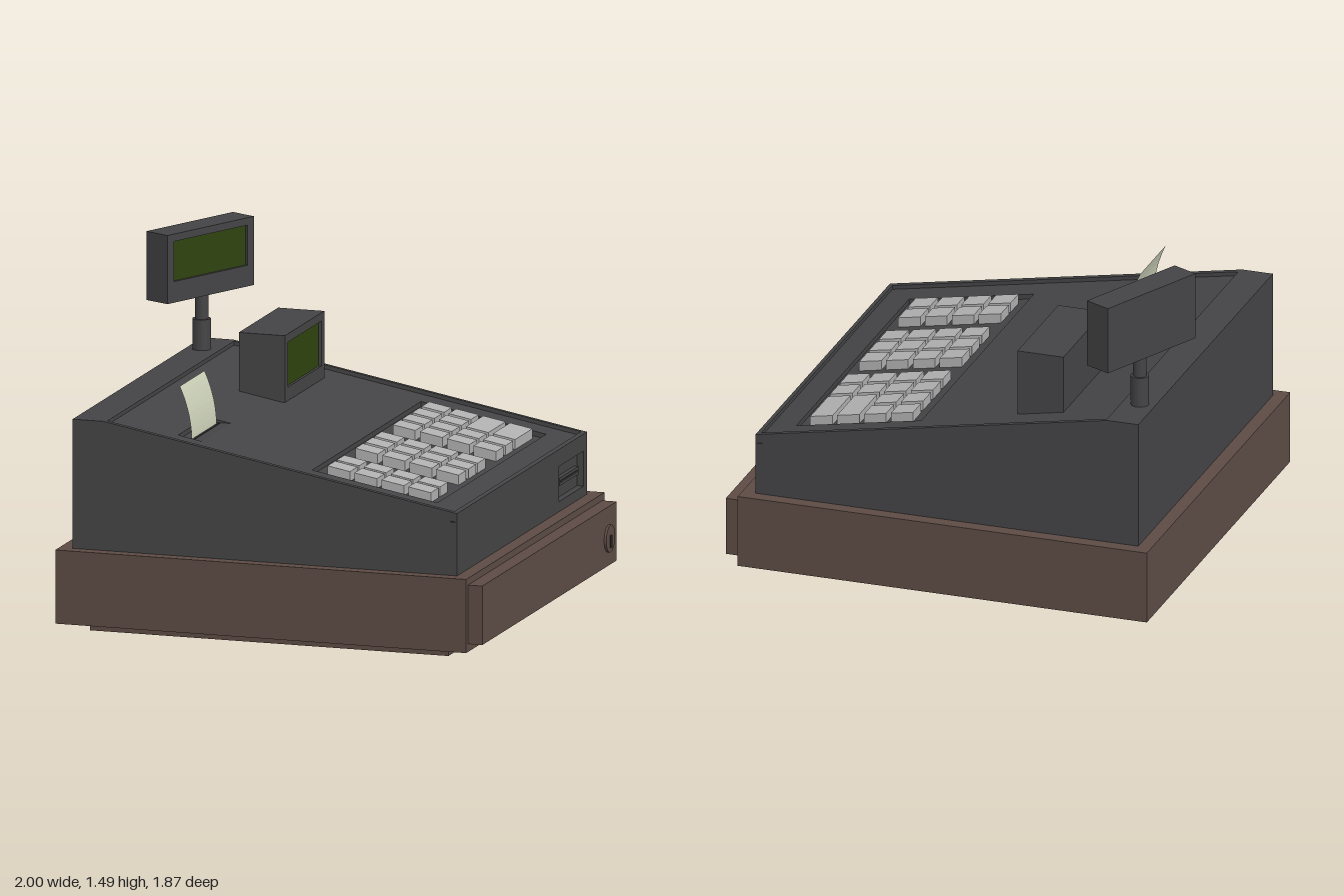
import * as THREE from 'three';

const mat = (color) => new THREE.MeshStandardMaterial({ color, flatShading: true, side: THREE.DoubleSide });
const casing = mat(0x444446), brown = mat(0x5c4b44), screenGreen = mat(0x2f430f);
const keyGrey = mat(0xb0b0b0), dark = mat(0x2c2c2e), paper = mat(0xced3ba);

// Height of the sloping top at a given x
const topY = (x) => 0.94 - 0.1832 * (x + 0.75);
const RECESS = 0.018, KEYPAD = 0.04;

function add(parent, name, geometry, material) {
  const mesh = new THREE.Mesh(geometry, material);
  mesh.name = name;
  parent.add(mesh);
  return mesh;
}

// Box given by its limits on each axis
function box(parent, name, material, x0, x1, y0, y1, z0, z1) {
  const g = new THREE.BoxGeometry(x1 - x0, y1 - y0, z1 - z0);
  g.translate((x0 + x1) / 2, (y0 + y1) / 2, (z0 + z1) / 2);
  return add(parent, name, g, material);
}

function rect(Type, x0, x1, y0, y1) {
  const p = new Type();
  p.moveTo(x0, y0).lineTo(x1, y0).lineTo(x1, y1).lineTo(x0, y1).closePath();
  return p;
}

// Flat plate with rectangular holes, each rectangle as [u0, u1, v0, v1]
function plate(outer, holes, depth) {
  const shape = rect(THREE.Shape, ...outer);
  holes.forEach((h) => shape.holes.push(rect(THREE.Path, ...h)));
  return new THREE.ExtrudeGeometry(shape, { depth, bevelEnabled: false });
}

// Plate following the sloping top; rectangles are [x0, x1, z0, z1], heights relative to the slope
function slopedPlate(outer, holes, low, high) {
  const flip = ([x0, x1, z0, z1]) => [x0, x1, -z1, -z0];
  const g = plate(flip(outer), holes.map(flip), high - low);
  g.rotateX(-Math.PI / 2);
  const p = g.attributes.position;
  for (let i = 0; i < p.count; i++) p.setY(i, p.getY(i) + low + topY(p.getX(i)));
  g.computeVertexNormals();
  return g;
}

// Plate facing +x; rectangles are [z0, z1, y0, y1]
function frontPlate(outer, holes, depth, x) {
  const flip = ([z0, z1, y0, y1]) => [-z1, -z0, y0, y1];
  const g = plate(flip(outer), holes.map(flip), depth);
  g.rotateY(Math.PI / 2);
  return g.translate(x, 0, 0);
}

// Display housing with a sunken screen facing +x
function display(name, width, depth, height, side, bottom, top) {
  const group = new THREE.Group();
  group.name = name;
  const w = width / 2, d = depth / 2, sunk = 0.015;
  box(group, 'displayHousing', casing, -d, d - sunk, 0, height, -w, w);
  const opening = [-w + side, w - side, bottom, height - top];
  add(group, 'displayFrame', frontPlate([-w, w, 0, height], [opening], sunk, d - sunk), casing);
  box(group, 'displayScreen', screenGreen, d - sunk, d - sunk + 0.003,
    opening[2], opening[3], opening[0], opening[1]);
  return group;
}

export function createModel() {
  const model = new THREE.Group();
  model.name = 'cashRegister';

  // Cash drawer base
  box(model, 'foot', brown, -0.83, 0.8, 0, 0.05, -0.81, 0.815);
  box(model, 'drawerCase', brown, -0.95, 0.92, 0.045, 0.37, -0.935, 0.93);
  box(model, 'drawerFront', brown, 0.92, 0.985, 0.08, 0.34, -0.905, 0.905);
  const lock = add(model, 'drawerLock', new THREE.CylinderGeometry(0.06, 0.06, 0.02, 32), brown);
  lock.rotation.z = -Math.PI / 2;
  lock.position.set(0.985, 0.2, -0.795);
  box(model, 'keyhole', dark, 0.99, 1.0, 0.16, 0.215, -0.803, -0.787);

  // Sloping body
  const face = 0.83;
  const profile = new THREE.Shape([
    [-0.89, 0.37], [face, 0.37], [face, topY(face) - KEYPAD],
    [-0.75, 0.94 - KEYPAD], [-0.75, 0.94], [-0.89, 0.94],
  ].map(([x, y]) => new THREE.Vector2(x, y)));
  const body = new THREE.ExtrudeGeometry(profile, { depth: 1.75, bevelEnabled: false });
  add(model, 'body', body.translate(0, 0, -0.875), casing);
  const cardOpening = [-0.83, -0.495, 0.415, 0.57];
  add(model, 'bodyFront',
    frontPlate([-0.875, 0.875, 0.37, topY(0.86) - KEYPAD], [cardOpening], 0.03, face), casing);
  box(model, 'cardReader', casing, face, 0.85, 0.475, 0.51, -0.79, -0.535);
  box(model, 'cardSlot', dark, 0.85, 0.852, 0.487, 0.497, -0.775, -0.55);

  // Stepped top: outer rim, then a panel with keypad and paper openings
  const outline = [-0.75, 0.86, -0.875, 0.875];
  const keypad = [0.15, 0.72, -0.74, 0.725];
  const slot = [-0.46, -0.35, 0.34, 0.725];
  add(model, 'topPanel', slopedPlate(outline, [keypad, slot], -KEYPAD, -RECESS), casing);
  add(model, 'topRim', slopedPlate(outline, [[-0.74, 0.84, -0.855, 0.85]], -RECESS, 0), casing);

  // Keys, in three blocks of rows; the two right keys of the first row are double height
  const keys = new THREE.Group();
  keys.name = 'keys';
  model.add(keys);
  const rows = [-0.643, -0.512, -0.383, -0.255, -0.007, 0.12, 0.25, 0.5, 0.625];
  const columns = [0.254, 0.377, 0.5, 0.622];
  rows.forEach((z, r) => columns.forEach((x, c) => {
    if (r === 1 && c > 1) return;
    const end = r === 0 && c > 1 ? rows[1] : z;
    add(keys, 'key', slopedPlate([x - 0.051, x + 0.051, z - 0.051, end + 0.051], [], -KEYPAD, 0.004), keyGrey);
  }));

  // Receipt printer
  box(model, 'paperSlotFloor', casing, -0.46, -0.35, 0.82, 0.848, 0.34, 0.725);
  box(model, 'paperSlot', dark, -0.415, -0.395, 0.84, 0.85, 0.355, 0.715);
  const sheet = new THREE.PlaneGeometry(0.335, 0.24, 1, 10);
  sheet.rotateY(Math.PI / 2);
  const p = sheet.attributes.position;
  for (let i = 0; i < p.count; i++) {
    const t = p.getY(i) / 0.24 + 0.5;
    p.setX(i, -0.055 * t * t);
  }
  sheet.computeVertexNormals();
  add(model, 'receiptPaper', sheet, paper).position.set(-0.405, 0.96, 0.5375);

  // Operator display sitting on the panel
  const operator = display('operatorDisplay', 0.53, 0.21, 0.295, 0.04, 0.06, 0.037);
  operator.position.set(-0.385, 0.838, -0.445);
  model.add(operator);

  // Turned customer display on a telescopic pole
  const pole = (name, radius, y0, y1) =>
    add(model, name, new THREE.CylinderGeometry(radius, radius, y1 - y0, 24), casing)
      .position.set(-0.82, (y0 + y1) / 2, -0.655);
  pole('poleLower', 0.04, 0.92, 1.075);
  pole('poleUpper', 0.029, 1.07, 1.2);
  const customer = display('customerDisplay', 0.54, 0.126, 0.303, 0.042, 0.093, 0.033);
  customer.position.set(-0.828, 1.187, -0.66);
  customer.rotation.y = -0.438;
  model.add(customer);

  return model;
}
